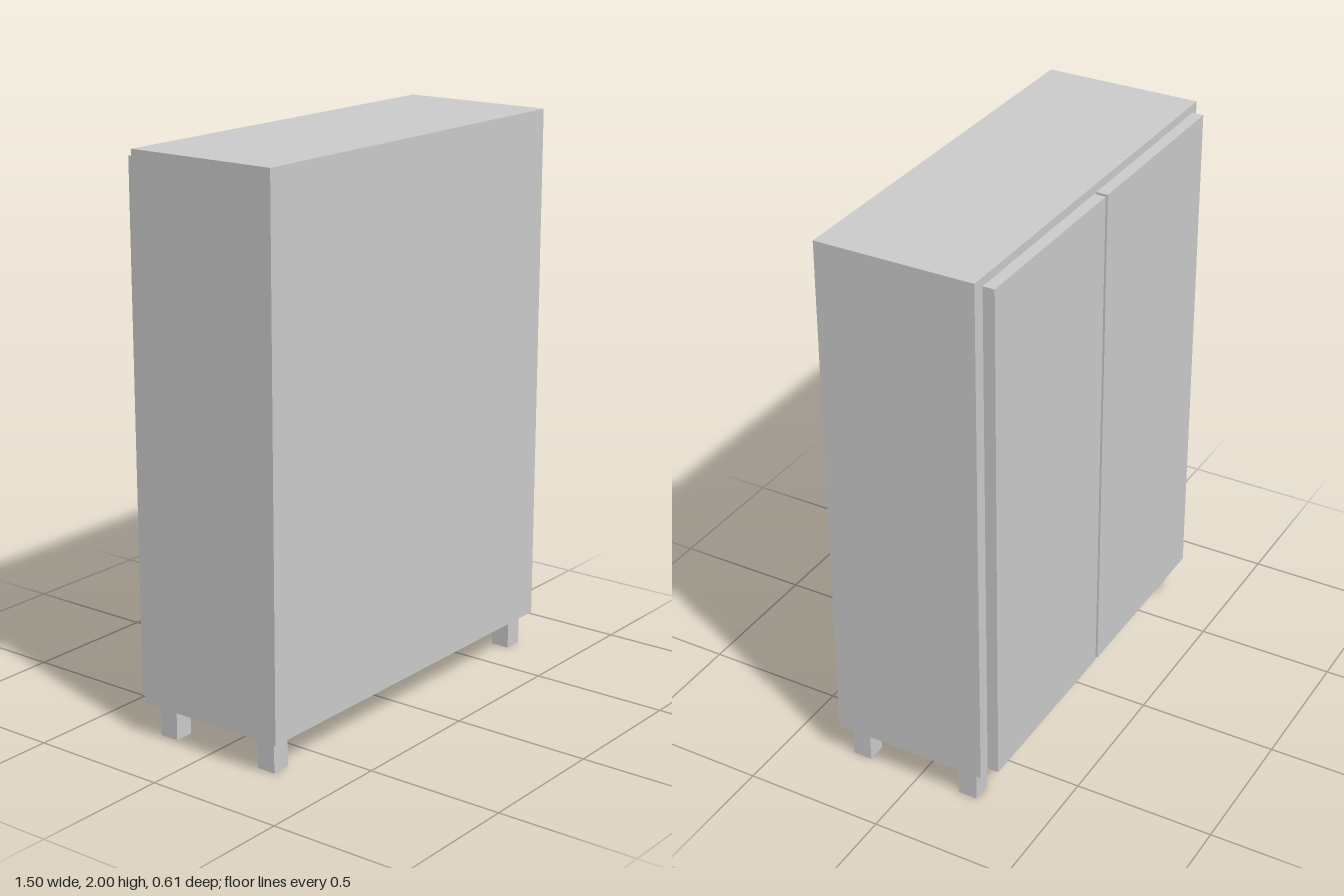
import * as THREE from 'three';

const material = new THREE.MeshStandardMaterial({ color: 0xcccccc, flatShading: true });

// Box given by its extents along each axis
function box(name, [x0, x1], [y0, y1], [z0, z1]) {
  const mesh = new THREE.Mesh(new THREE.BoxGeometry(x1 - x0, y1 - y0, z1 - z0), material);
  mesh.position.set((x0 + x1) / 2, (y0 + y1) / 2, (z0 + z1) / 2);
  mesh.name = name;
  return mesh;
}

export function createModel() {
  const cabinet = new THREE.Group();
  cabinet.name = 'cabinet';

  // Carcass
  cabinet.add(box('body', [-0.75, 0.75], [0.122, 2], [-0.262, 0.302]));

  // Pair of doors on the -z side, with a narrow gap between them
  const doorY = [0.13, 1.97];
  const doorZ = [-0.303, -0.262];
  cabinet.add(box('rightDoor', [-0.72, -0.016], doorY, doorZ));
  cabinet.add(box('leftDoor', [-0.001, 0.703], doorY, doorZ));

  // Four square legs
  const legSize = 0.07;
  for (const [side, x] of [['Right', -0.71], ['Left', 0.655]]) {
    for (const [end, z] of [['front', 0.193], ['back', -0.23]]) {
      cabinet.add(box(`${end}${side}Leg`, [x, x + legSize], [0, 0.122], [z, z + legSize]));
    }
  }
  return cabinet;
}
